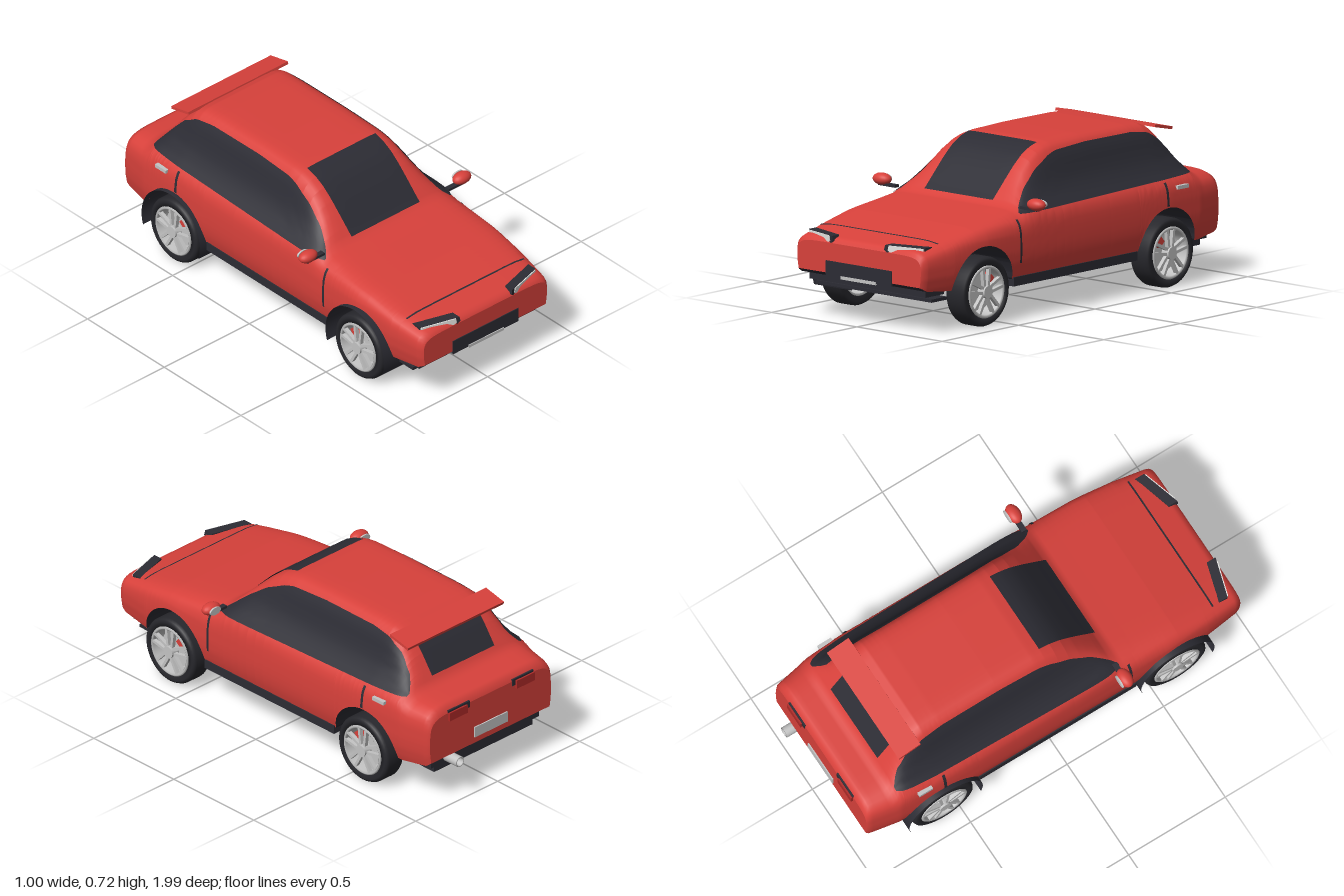
import * as THREE from 'three';

const mat = (name, color, side = THREE.FrontSide) => {
  const m = new THREE.MeshStandardMaterial({ color, side });
  m.name = name;
  return m;
};

// Linear lookup in a short table of [position, value] pairs
function lookup(table, p) {
  if (p <= table[0][0]) return table[0][1];
  for (let i = 1; i < table.length; i++) {
    const [a, va] = table[i - 1], [b, vb] = table[i];
    if (p <= b) return va + (vb - va) * (p - a) / (b - a);
  }
  return table[table.length - 1][1];
}

// Body curves: top line, bottom line, taper in plan, half width by height
const TOP = [[-.955, .43], [-.945, .455], [-.92, .468], [-.83, .477], [-.8, .493], [-.77, .535], [-.72, .605], [-.67, .663],
  [-.63, .697], [-.59, .711], [-.5, .716], [-.2, .718], [0, .713], [.05, .706], [.1, .691], [.15, .663], [.2, .622],
  [.25, .573], [.3, .523], [.33, .492], [.36, .475], [.45, .462], [.65, .436], [.85, .396], [.95, .375], [.975, .367], [.985, .35]];
const BOTTOM = [[-.955, .215], [-.93, .195], [-.8, .18], [.8, .18], [.95, .195], [.985, .215]];
const PLAN = [[-.955, .89], [-.945, .91], [-.8, .975], [-.6, 1], [.6, .995], [.8, .96], [.97, .905], [.985, .875]];
const WIDTH = [[.15, .385], [.2, .402], [.25, .412], [.3, .415], [.38, .413], [.43, .407], [.46, .395], [.48, .376], [.5, .353],
  [.55, .318], [.6, .298], [.65, .286], [.72, .275]];
const AXLES = [.615, -.585], ARCH_Y = .165, ARCH_R = .19, BASE = .15, POWER = 10;

const topLine = z => lookup(TOP, z);
const corner = f => Math.pow(Math.max(0, 1 - Math.pow(Math.min(1, f), POWER)), 1 / POWER);
const wall = (y, z) => lookup(WIDTH, y) * lookup(PLAN, z);
const sideX = (y, z) => wall(y, z) * corner((y - BASE) / (topLine(z) - BASE));
const topY = (x, z) => BASE + (topLine(z) - BASE) * corner(Math.abs(x) / wall(topLine(z), z));
function bottomLine(z) {
  let y = lookup(BOTTOM, z);
  for (const c of AXLES) {
    const d = ARCH_R ** 2 - (z - c) ** 2;
    if (d > 0) y = Math.max(y, ARCH_Y + Math.sqrt(d));
  }
  return y;
}

// Surface through equal rows of points; faces look along column x row
function grid(rows) {
  const n = rows[0].length, index = [];
  for (let i = 0; i < rows.length - 1; i++) for (let j = 0; j < n - 1; j++) {
    const a = i * n + j;
    index.push(a, a + 1, a + n, a + 1, a + n + 1, a + n);
  }
  const g = new THREE.BufferGeometry();
  g.setAttribute('position', new THREE.Float32BufferAttribute(rows.flat(2), 3));
  g.setIndex(index);
  g.computeVertexNormals();
  return g;
}
const steps = (a, b, n) => Array.from({ length: n + 1 }, (_, i) => a + (b - a) * i / n);

// Cross-section from the left lower edge over the top to the right lower edge
function section(z) {
  const t = topLine(z), b = bottomLine(z), half = [];
  const yEnd = BASE + (t - BASE) * .95;
  for (const y of steps(b, yEnd, 16)) half.push([sideX(y, z), y, z]);
  for (const e of [.86, .79, .7, .55, .35, .15]) {
    const y = BASE + (t - BASE) * corner(e);
    half.push([wall(y, z) * e, y, z]);
  }
  return [...half, [0, t, z], ...half.slice().reverse().map(([x, y]) => [-x, y, z])];
}

export function createModel() {
  const car = new THREE.Group();
  car.name = 'car';
  const red = mat('body red', 0xd8413b);
  const black = mat('trim black', 0x2c2c34, THREE.DoubleSide);
  const rubber = mat('tyre rubber', 0x27272c);
  const silver = mat('silver', 0xc4c4c4);
  const lamp = mat('lamp white', 0xe6e6e4);
  const lampRed = mat('tail lamp red', 0xb02a28);

  const add = (name, geo, m, x = 0, y = 0, z = 0, parent = car) => {
    const mesh = new THREE.Mesh(geo, m);
    mesh.name = name;
    mesh.position.set(x, y, z);
    parent.add(mesh);
    return mesh;
  };
  const box = (name, m, w, h, d, x, y, z, parent) => add(name, new THREE.BoxGeometry(w, h, d), m, x, y, z, parent);

  // Body shell, with the wheel arches formed by the raised bottom line
  const stations = [...steps(-.955, .985, 70), ...TOP.map(p => p[0])];
  for (const c of AXLES) for (const a of steps(0, Math.PI, 24)) stations.push(c + ARCH_R * Math.cos(a));
  stations.sort((a, b) => a - b);
  const zs = stations.filter((z, i) => !i || z - stations[i - 1] > 1e-4);
  const rows = zs.map(section);
  add('bodyShell', grid(rows), red);
  add('underfloor', grid(rows.map(r => [r[r.length - 1], r[0]])), black);
  const cap = (r, flip) => grid(r.slice(0, (r.length - 1) / 2).map((p, j) => {
    const q = r[r.length - 1 - j];
    return flip ? [q, p] : [p, q];
  }));
  add('noseFace', cap(rows[rows.length - 1], true), red);
  add('tailFace', cap(rows[0], false), red);

  // Thin panels that follow the body surface
  const topPanel = (name, z0, z1, w, n = 14) => add(name, grid(steps(z0, z1, n).map(z =>
    steps(w, -w, 12).map(x => [x, topY(x, z) + .006, z]))), black);
  topPanel('windscreen', .045, .335, .2);
  topPanel('rearWindow', -.785, -.635, .19);
  topPanel('bonnetSeam', .85, .858, .345, 1);
  const sidePanel = (name, s, z0, z1, low, high, n) => add(name, grid(steps(z0, z1, n).map(z =>
    steps(low(z), high(z), 10).map(y => [s * (sideX(y, z) + .004), y, z]))), black);
  const GLASS_TOP = [[-.79, .488], [-.75, .545], [-.68, .625], [-.6, .672], [-.5, .685], [-.2, .687], [0, .677], [.05, .664],
    [.15, .617], [.25, .545], [.32, .485], [.35, .462]];
  const glassLow = z => .457 - (z - .35) * .02;

  for (const s of [1, -1]) {
    sidePanel('sideWindows', s, -.79, .35, glassLow, z => Math.max(glassLow(z) + .002, lookup(GLASS_TOP, z)), 50);
    sidePanel('frontDoorSeam', s, .382, .394, () => .25, () => .44, 1);
    sidePanel('rearDoorSeam', s, -.582, -.568, () => .362, () => .465, 1);
    box('doorHandle', silver, .02, .016, .07, s * .405, .436, -.675);

    // Door mirror
    const shell = add('mirrorShell', new THREE.SphereGeometry(1, 24, 16), red, s * .452, .505, .33);
    shell.scale.set(.048, .027, .032);
    box('mirrorArm', black, .1, .012, .025, s * .415, .483, .33);
    const glass = add('mirrorGlass', new THREE.CylinderGeometry(1, 1, 1, 20).rotateX(Math.PI / 2), silver, s * .455, .505, .3);
    glass.scale.set(.032, .018, .008);

    // Headlamp: tapered dark housing with a bright strip in front
    const light = (name, pts, depth, m, z0) => {
      const shape = new THREE.Shape(pts.map(([x, y]) => new THREE.Vector2(s * x, y)));
      const g = new THREE.ExtrudeGeometry(shape, { depth, bevelEnabled: false });
      const p = g.attributes.position;
      for (let i = 0; i < p.count; i++) p.setZ(i, p.getZ(i) + z0 - (Math.abs(p.getX(i)) - .16) * .3);
      g.computeVertexNormals();
      add(name, g, m);
    };
    light('headlampHousing', [[.15, .36], [.155, .383], [.34, .383], [.34, .37], [.25, .357], [.235, .341], [.17, .346]], .045, black, .942);
    light('headlampStrip', [[.17, .361], [.175, .382], [.335, .38], [.335, .37], [.25, .36], [.24, .353], [.18, .353]], .008, lamp, .984);

    // Tail lamp
    box('tailLampHousing', black, .13, .032, .09, s * .195, .425, -.914);
    box('tailLamp', lampRed, .11, .04, .02, s * .205, .412, -.957);
  }

  // Bumpers, sills, plates and exhaust
  box('sills', black, .804, .04, .81, 0, .168, .016);
  box('frontBumperUnderside', black, .68, .035, .12, 0, .18, .87);
  box('rearBumperUnderside', black, .66, .035, .12, 0, .18, -.86);
  box('frontSplitter', black, .68, .014, .1, 0, .142, .84);
  box('rearDiffuser', black, .6, .026, .12, 0, .143, -.85);
  box('grille', black, .385, .068, .012, 0, .236, .983);
  box('frontPlate', silver, .205, .014, .012, 0, .204, .987);
  box('rearPlate', silver, .2, .05, .012, 0, .27, -.955);
  const pipe = [[.016, 0], [.025, 0], [.025, .11], [.019, .11], [.016, 0]].map(p => new THREE.Vector2(...p));
  add('exhaustTip', new THREE.LatheGeometry(pipe, 24).rotateX(-Math.PI / 2), silver, .23, .19, -.89);
  add('exhaustBore', new THREE.CircleGeometry(.02, 20).rotateY(Math.PI), black, .23, .19, -.97);
  const spoiler = box('roofSpoiler', red, .585, .013, .115, 0, .686, -.682);
  spoiler.rotation.x = -.22;

  // Wheels
  const V = (...pts) => pts.map(p => new THREE.Vector2(...p));
  const spin = pts => new THREE.LatheGeometry(V(...pts), 48).rotateZ(-Math.PI / 2);
  const tyre = spin([[.112, -.05], [.138, -.054], [.149, -.049], [.155, -.036], [.155, .036], [.149, .049], [.138, .054], [.112, .05], [.112, -.05]]);
  const rim = spin([[.102, -.045], [.114, -.048], [.117, .052], [.11, .057], [.102, .052], [.102, -.045]]);
  const disc = (r, w) => new THREE.CylinderGeometry(r, r, w, 32).rotateZ(-Math.PI / 2);
  for (const z of AXLES) for (const s of [1, -1]) {
    const wheel = new THREE.Group();
    wheel.name = 'wheel';
    wheel.position.set(s * .368, .155, z > 0 ? .62 : z);
    if (s < 0) wheel.rotation.y = Math.PI;
    car.add(wheel);
    add('tyre', tyre, rubber, 0, 0, 0, wheel);
    add('rim', rim, silver, 0, 0, 0, wheel);
    add('brakeDisc', disc(.085, .012), silver, .005, 0, 0, wheel);
    add('axleEnd', disc(.035, .05), black, -.02, 0, 0, wheel);
    add('hub', disc(.028, .04), silver, .044, 0, 0, wheel);
    for (let i = 0; i < 5; i++) {
      const spoke = new THREE.Group();
      spoke.name = 'spoke';
      spoke.rotation.x = i * Math.PI * 2 / 5;
      wheel.add(spoke);
      for (const k of [-1, 1]) box('spokeBar', silver, .018, .09, .013, .046, .062, k * .016, spoke).rotation.x = k * .12;
    }
    const inward = -Math.sign(z) * s;
    box('brakeCaliper', red, .03, .035, .04, .018, .052, inward * .045, wheel).rotation.x = inward * .7;
  }

  // Arch liners on the right side, open at the bottom
  for (const z of AXLES) {
    const arc = steps(-.32, Math.PI + .32, 32);
    add('archLiner', grid(arc.map(a => [-.435, -.21].map(x =>
      [x, ARCH_Y + ARCH_R * Math.sin(a), z + ARCH_R * Math.cos(a)]))), black);
  }
  return car;
}
